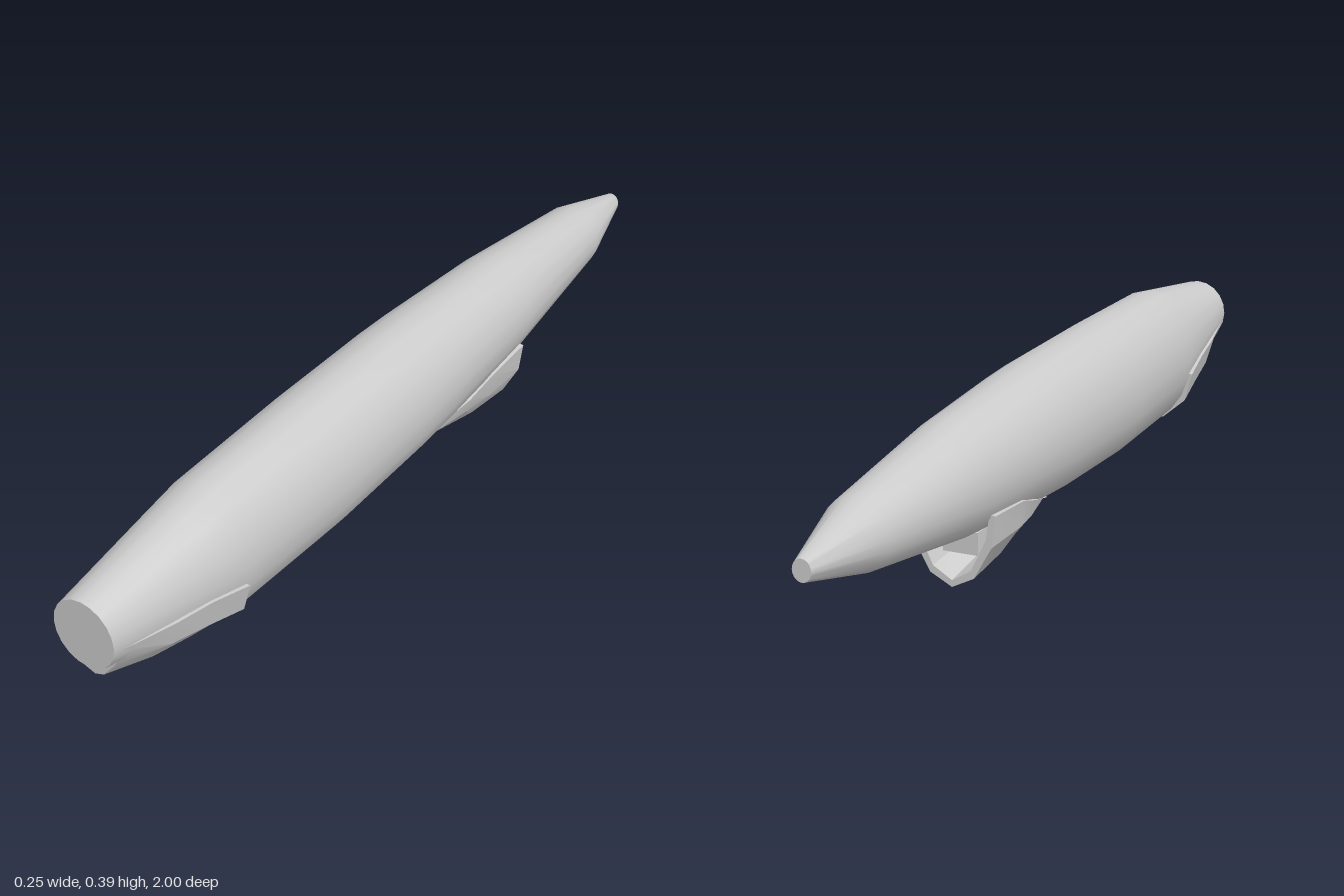
import * as THREE from 'three';
import { toCreasedNormals } from 'three/addons/utils/BufferGeometryUtils.js';

const material = new THREE.MeshStandardMaterial({ color: 0xcccccc });

// Skin closed rings (counter-clockwise seen from +z, ordered front to back) and cap both ends
function loft(name, rings, crease) {
  const n = rings[0].length;
  const index = [];
  for (let i = 0; i < rings.length - 1; i++) {
    for (let j = 0; j < n; j++) {
      const k = (j + 1) % n;
      const a = i * n + j, b = i * n + k, c = a + n, d = b + n;
      index.push(a, c, b, b, c, d);
    }
  }
  const cap = (r, flip) => {
    const outline = rings[r].map((p) => new THREE.Vector2(p.x, p.y));
    for (const [a, b, c] of THREE.ShapeUtils.triangulateShape(outline, [])) {
      const o = r * n;
      index.push(o + a, o + (flip ? c : b), o + (flip ? b : c));
    }
  };
  cap(0, false);
  cap(rings.length - 1, true);
  const geometry = new THREE.BufferGeometry().setFromPoints(rings.flat());
  geometry.setIndex(index);
  const mesh = new THREE.Mesh(toCreasedNormals(geometry, crease), material);
  mesh.name = name;
  return mesh;
}

// Elliptical ring from half width, bottom and top heights
function ellipseRing([z, halfWidth, bottom, top], sides = 20) {
  return Array.from({ length: sides }, (_, i) => {
    const a = (i / sides) * Math.PI * 2;
    return new THREE.Vector3(
      halfWidth * Math.cos(a),
      (top + bottom) / 2 + ((top - bottom) / 2) * Math.sin(a),
      z
    );
  });
}

// Trough-shaped ring with wall thickness; half profile runs from upper edge to keel
function troughRing([z, half]) {
  const outer = [
    ...half.map(([x, y]) => new THREE.Vector3(-x, y, z)),
    ...half.slice(0, -1).reverse().map(([x, y]) => new THREE.Vector3(x, y, z)),
  ];
  const inner = outer
    .map((p, i) => {
      const edge = i === 0 || i === outer.length - 1;
      return new THREE.Vector3(p.x * 0.86, p.y + (edge ? 0.002 : 0.015), z);
    })
    .reverse();
  return [...outer, ...inner];
}

export function createModel() {
  const model = new THREE.Group();
  model.name = 'streamlinedBody';

  // Main hull: z, half width, bottom, top
  const hull = [
    [1, 0.073, 0.18, 0.335],
    [0.72, 0.107, 0.093, 0.376],
    [0.64, 0.115, 0.068, 0.388],
    [0.3, 0.125, 0.063, 0.391],
    [0, 0.124, 0.074, 0.389],
    [-0.1, 0.122, 0.082, 0.385],
    [-0.42, 0.107, 0.11, 0.366],
    [-0.8, 0.074, 0.17, 0.322],
    [-1, 0.02, 0.222, 0.268],
  ];
  model.add(loft('hull', hull.map((s) => ellipseRing(s)), 0.6));

  // Panel under the nose
  const chin = [
    [0.98, [[0.073, 0.24], [0.054, 0.195], [0.022, 0.155], [0, 0.147]]],
    [0.85, [[0.095, 0.223], [0.08, 0.165], [0.031, 0.11], [0, 0.105]]],
    [0.75, [[0.107, 0.212], [0.09, 0.145], [0.038, 0.09], [0, 0.083]]],
    [0.65, [[0.118, 0.19], [0.1, 0.122], [0.045, 0.074], [0, 0.068]]],
  ];
  model.add(loft('chinPanel', chin.map(troughRing), 0.35));

  // Scoop under the rear, open to the back
  const scoop = [
    [-0.04, [[0.045, 0.084], [0.035, 0.082], [0.018, 0.078], [0, 0.075]]],
    [-0.2, [[0.091, 0.135], [0.081, 0.1], [0.04, 0.05], [0, 0.033]]],
    [-0.28, [[0.1, 0.16], [0.09, 0.1], [0.047, 0.038], [0, 0.018]]],
    [-0.415, [[0.1, 0.17], [0.09, 0.1], [0.05, 0.028], [0, 0.002]]],
  ];
  model.add(loft('rearScoop', scoop.map(troughRing), 0.35));

  // Block set inside the scoop opening
  const block = new THREE.Mesh(new THREE.BoxGeometry(0.08, 0.05, 0.08), material);
  block.name = 'scoopInnerBlock';
  block.position.set(0, 0.087, -0.335);
  model.add(block);

  return model;
}
